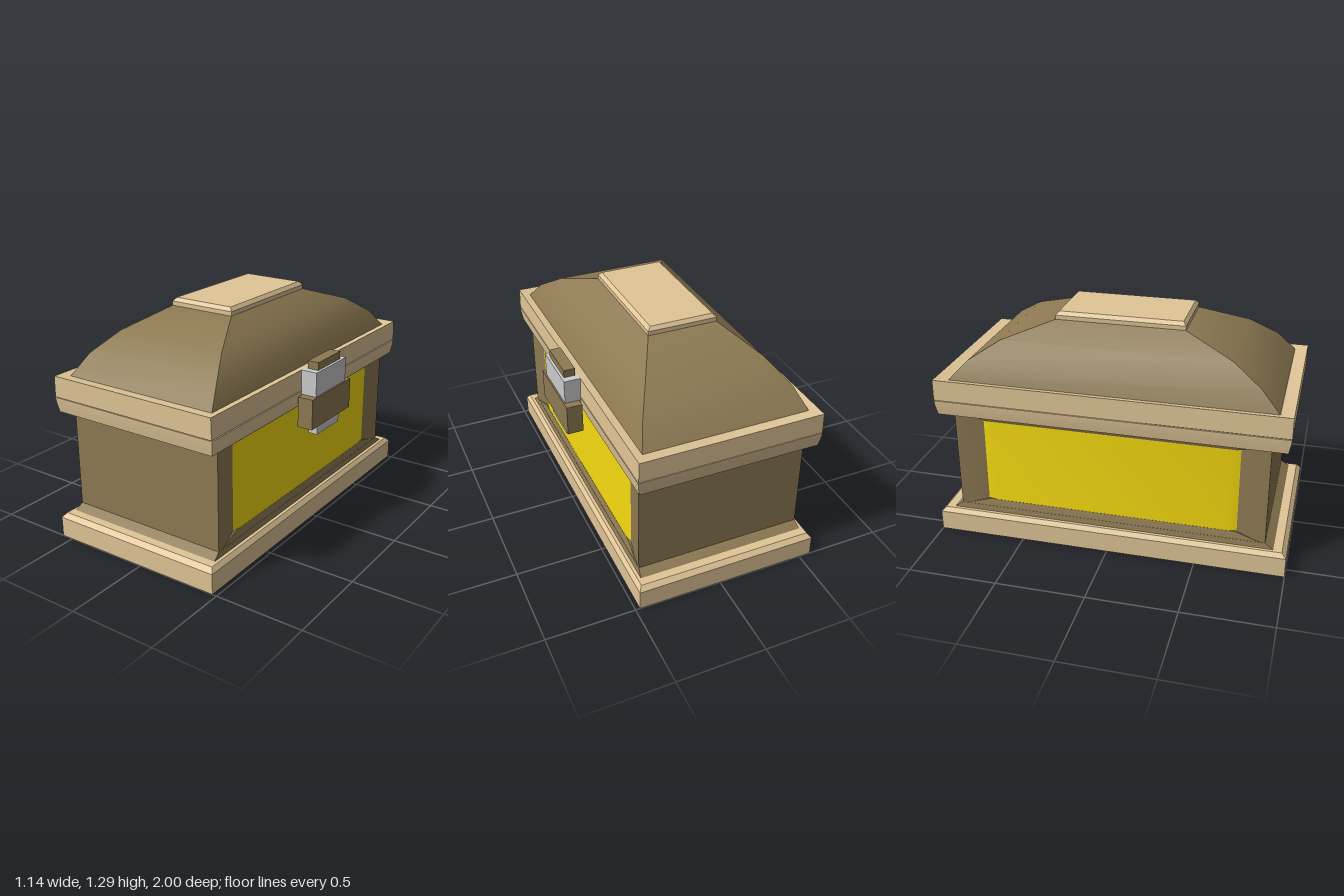
import * as THREE from 'three';
import { toCreasedNormals } from 'three/addons/utils/BufferGeometryUtils.js';

const mat = (color) => new THREE.MeshStandardMaterial({ color });

// Closed stack of rectangles, each given as [y, halfX, halfZ], from bottom to top.
function loft(sections) {
  const pos = [];
  const idx = [];
  for (const [y, x, z] of sections) pos.push(-x, y, z, x, y, z, x, y, -z, -x, y, -z);
  for (let s = 0; s < sections.length - 1; s++) {
    for (let i = 0; i < 4; i++) {
      const a = s * 4 + i;
      const b = s * 4 + ((i + 1) % 4);
      idx.push(a, b, b + 4, a, b + 4, a + 4);
    }
  }
  const t = (sections.length - 1) * 4;
  idx.push(0, 2, 1, 0, 3, 2, t, t + 1, t + 2, t, t + 2, t + 3);
  const geo = new THREE.BufferGeometry();
  geo.setAttribute('position', new THREE.Float32BufferAttribute(pos, 3));
  geo.setIndex(idx);
  return toCreasedNormals(geo, 0.5);
}

// Upright prism whose plan is one quarter outline mirrored in x and z.
function prism(quarter, y0, y1) {
  const rev = [...quarter].reverse();
  const plan = [
    ...quarter,
    ...rev.map(([x, z]) => [-x, z]),
    ...quarter.map(([x, z]) => [-x, -z]),
    ...rev.map(([x, z]) => [x, -z]),
  ];
  const shape = new THREE.Shape(plan.map(([x, z]) => new THREE.Vector2(x, z)));
  const geo = new THREE.ExtrudeGeometry(shape, { depth: y1 - y0, bevelEnabled: false });
  geo.rotateX(-Math.PI / 2);
  geo.translate(0, y0, 0);
  return toCreasedNormals(geo, 0.2);
}

export function createModel() {
  const tan = mat(0xe0c597);
  const brown = mat(0x8e7a53);
  const yellow = mat(0xf8dc10);
  const grey = mat(0xf2f2f2);

  const model = new THREE.Group();
  model.name = 'chest';
  const box = new THREE.Group();
  box.name = 'chestBody';
  box.position.x = -0.047;
  model.add(box);

  const add = (parent, name, geo, material) => {
    const mesh = new THREE.Mesh(geo, material);
    mesh.name = name;
    parent.add(mesh);
    return mesh;
  };

  // Plinth with a slightly dished underside, and the flare above it
  add(box, 'base', loft([
    [0.02, 0.46, 0.935], [0, 0.522, 1], [0.115, 0.522, 1], [0.14, 0.503, 0.975],
  ]), tan);
  add(box, 'baseFlare', loft([[0.138, 0.485, 0.93], [0.17, 0.477, 0.88]]), brown);

  // Walls with wide corner posts leaning in to the side panels
  const posts = [[0.43, 0.72], [0.453, 0.72], [0.469, 0.8], [0.477, 0.88]];
  add(box, 'walls', prism(posts, 0.14, 0.746), brown);
  const panel = [[0.463, 0.67], [0.453, 0.72]];
  add(box, 'sidePanels', prism(panel, 0.19, 0.73), yellow);
  add(box, 'panelSill', loft([[0.165, 0.477, 0.87], [0.185, 0.472, 0.8], [0.21, 0.464, 0.71]]), brown);
  add(box, 'panelHeader', loft([[0.71, 0.464, 0.7], [0.746, 0.476, 0.81]]), brown);

  // Rims either side of the lid seam
  add(box, 'rimSoffit', loft([[0.743, 0.495, 0.95], [0.76, 0.495, 0.95]]), brown);
  add(box, 'lowerRim', loft([[0.745, 0.507, 0.965], [0.8, 0.516, 0.975], [0.829, 0.518, 0.978]]), tan);
  add(box, 'seam', loft([[0.82, 0.51, 0.972], [0.84, 0.51, 0.972]]), brown);
  add(box, 'lidRim', loft([[0.833, 0.516, 0.979], [0.95, 0.513, 0.979], [0.938, 0.46, 0.9]]), tan);

  // Domed lid and cap plate
  add(box, 'lidDome', loft([
    [0.93, 0.47, 0.915], [1.05, 0.418, 0.8], [1.15, 0.335, 0.64], [1.246, 0.198, 0.363],
  ]), brown);
  add(box, 'lidCap', loft([[1.244, 0.198, 0.363], [1.27, 0.198, 0.363], [1.29, 0.18, 0.346]]), tan);

  // Latch on the left side: [name, x0, x1, y0, y1, halfZ, material]
  const latch = new THREE.Group();
  latch.name = 'latch';
  latch.position.z = -0.004;
  model.add(latch);
  const blocks = [
    ['latchTop', 0.48, 0.545, 0.93, 0.994, 0.121, brown],
    ['latchPlate', 0.466, 0.56, 0.775, 0.95, 0.163, grey],
    ['latchBody', 0.478, 0.568, 0.638, 0.812, 0.211, brown],
    ['latchTongue', 0.495, 0.549, 0.576, 0.66, 0.121, grey],
  ];
  for (const [name, x0, x1, y0, y1, hz, material] of blocks) {
    const mesh = add(latch, name, new THREE.BoxGeometry(x1 - x0, y1 - y0, hz * 2), material);
    mesh.position.set((x0 + x1) / 2, (y0 + y1) / 2, 0);
  }
  return model;
}
